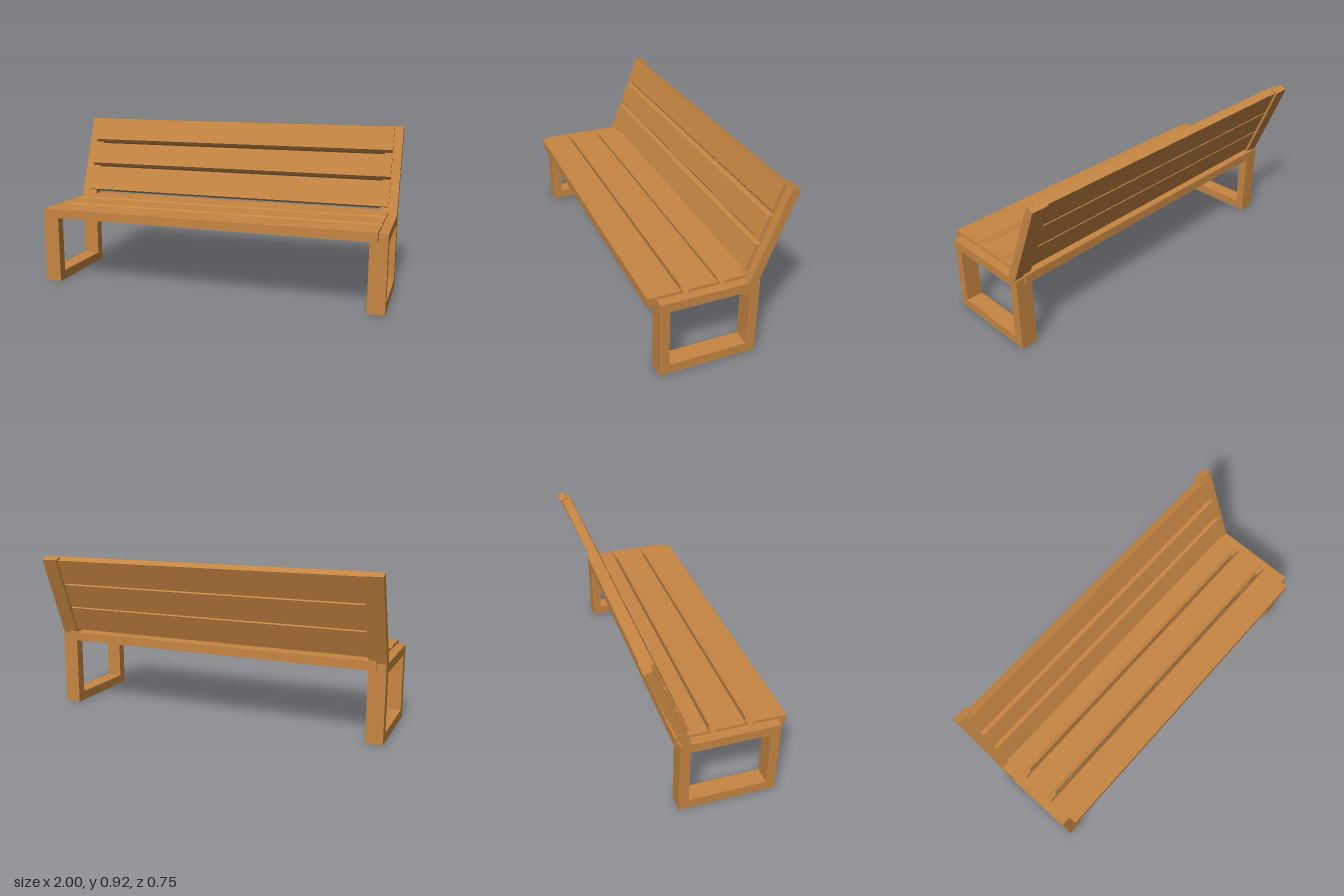
import * as THREE from 'three';

const wood = new THREE.MeshStandardMaterial({ color: 0xc68642 });

// Extrudes a profile drawn in (z, y) along x, centred on x = 0
function extrudeAlongX(points, width, hole) {
  const toVectors = (list) => list.map(([z, y]) => new THREE.Vector2(z, y));
  const shape = new THREE.Shape(toVectors(points));
  if (hole) shape.holes.push(new THREE.Path(toVectors(hole)));
  return new THREE.ExtrudeGeometry(shape, { depth: width, bevelEnabled: false })
    .translate(0, 0, -width / 2)
    .rotateY(-Math.PI / 2);
}

// Plank running from 0 to length, face up at y = 0, with optional chamfers on its upper edges
function plank(name, length, chamferStart, chamferEnd) {
  const thick = 0.052, drop = 0.02;
  const points = [[0, -thick], [length, -thick]];
  if (chamferEnd) points.push([length, -drop]);
  points.push([length - chamferEnd, 0], [chamferStart, 0]);
  if (chamferStart) points.push([0, -drop]);
  const mesh = new THREE.Mesh(extrudeAlongX(points, 1.9), wood);
  mesh.name = name;
  return mesh;
}

export function createModel() {
  const bench = new THREE.Group();
  bench.name = 'bench';

  // Side frames: closed leg loop with the sloping back post
  const frameWidth = 0.095;
  const outline = [
    [0.33, 0], [0.33, 0.435], [-0.14, 0.435], [-0.333, 0.923],
    [-0.375, 0.906], [-0.191, 0.435], [-0.2, 0.435], [-0.2, 0],
  ];
  const opening = [[0.278, 0.055], [-0.147, 0.055], [-0.147, 0.383], [0.278, 0.383]];
  const frameGeometry = extrudeAlongX(outline, frameWidth, opening);
  for (const [side, name] of [[1, 'leftFrame'], [-1, 'rightFrame']]) {
    const frame = new THREE.Mesh(frameGeometry, wood);
    frame.name = name;
    frame.position.x = side * (1 - frameWidth / 2);
    bench.add(frame);
  }

  // Seat slats: [back z, front z, back chamfer, front chamfer]
  const seat = new THREE.Group();
  seat.name = 'seat';
  [
    [0.184, 0.376, 0.017, 0],
    [-0.012, 0.175, 0.017, 0.017],
    [-0.212, -0.02, 0, 0.017],
  ].forEach(([back, front, chamferBack, chamferFront], i) => {
    const slat = plank(`seatSlat${i + 1}`, front - back, chamferBack, chamferFront);
    slat.position.set(0, 0.45, back);
    seat.add(slat);
  });
  bench.add(seat);

  // Backrest slats, laid out along the slope: [start, end, lower chamfer, upper chamfer]
  const backrest = new THREE.Group();
  backrest.name = 'backrest';
  [
    [0, 0.153, 0, 0.012],
    [0.162, 0.311, 0.012, 0.012],
    [0.32, 0.472, 0.012, 0],
  ].forEach(([start, end, chamferLow, chamferHigh], i) => {
    // Planks grow towards -z here, so the chamfers swap ends
    const slat = plank(`backSlat${i + 1}`, end - start, chamferHigh, chamferLow);
    slat.position.z = -end;
    backrest.add(slat);
  });
  backrest.position.set(0, 0.483, -0.138);
  backrest.rotation.x = Math.atan2(0.488, 0.193);
  bench.add(backrest);

  return bench;
}
